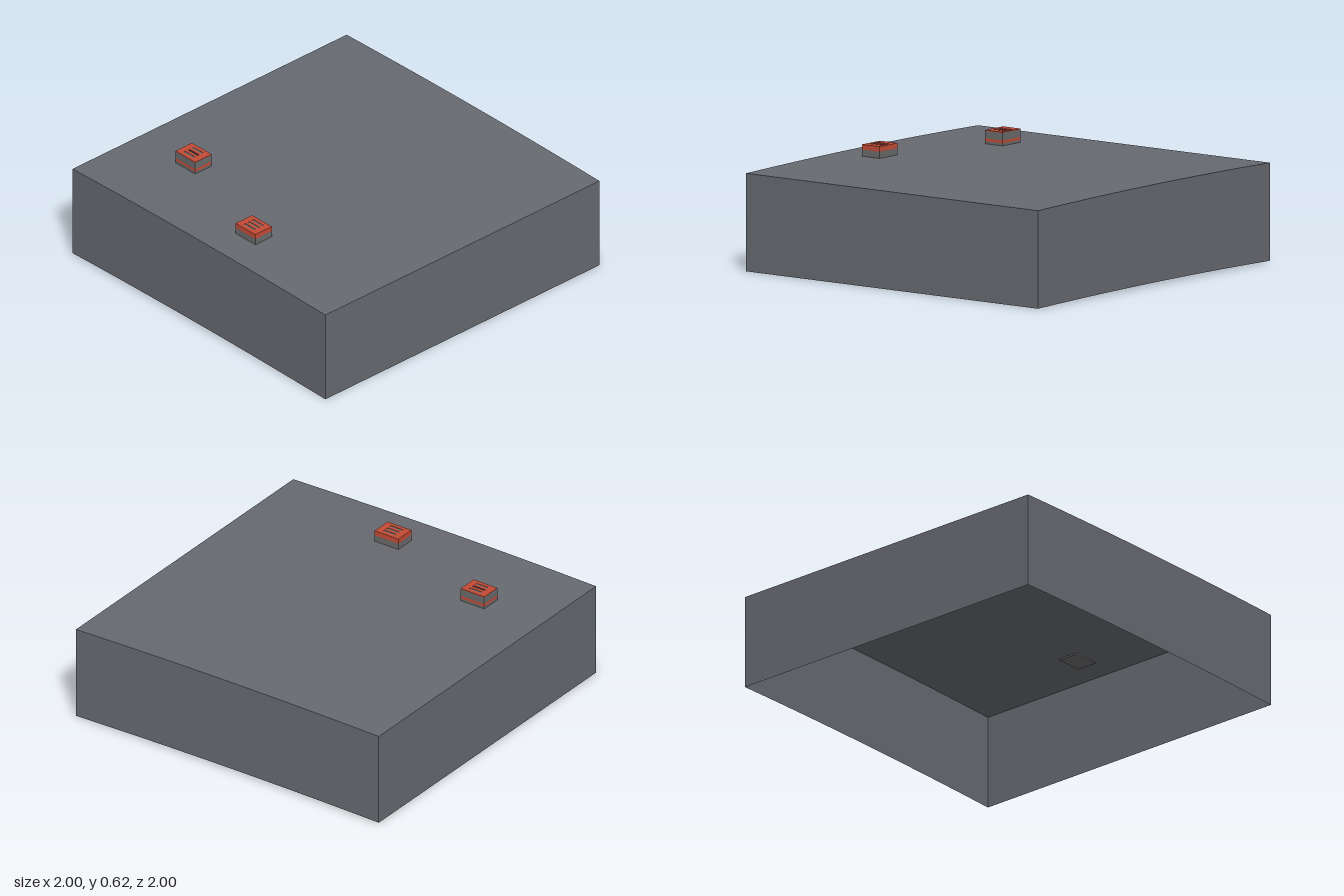
import * as THREE from 'three';

const mat = (name, color, side = THREE.FrontSide) => {
  const m = new THREE.MeshStandardMaterial({ color, side });
  m.name = name;
  return m;
};

export function createModel() {
  const model = new THREE.Group();
  model.name = 'roofBlock';
  const slate = mat('slate grey', 0x66696f, THREE.DoubleSide);
  const steel = mat('steel grey', 0x6a6a6a);
  const red = mat('brick orange', 0xc24a35);
  const dark = mat('dark slot', 0x26282c);

  const add = (parent, name, geometry, material, x = 0, y = 0, z = 0) => {
    const mesh = new THREE.Mesh(geometry, material);
    mesh.name = name;
    mesh.position.set(x, y, z);
    parent.add(mesh);
    return mesh;
  };

  // Open-bottomed block, gently bowed along z
  const height = 0.533;
  const bow = z => 0.012 * (1 - z * z) + 0.0025 * (1 - z);
  const shell = new THREE.BoxGeometry(2, height, 2, 1, 1, 16);
  const floor = shell.groups[3];
  const index = Array.from(shell.index.array);
  index.splice(floor.start, floor.count);
  shell.setIndex(index);
  shell.clearGroups();
  const p = shell.attributes.position;
  for (let i = 0; i < p.count; i++) p.setY(i, p.getY(i) + height / 2 + bow(p.getZ(i)));
  shell.computeVertexNormals();
  add(model, 'block', shell, slate);

  // Roof vent: grey casing, orange band and slotted orange cover
  const W = 0.12, D = 0.156, slotW = 0.013, slotD = 0.08, gap = 0.03, T = 0.004;
  const rect = (path, x, z, w, d) => path
    .moveTo(x - w / 2, z - d / 2).lineTo(x + w / 2, z - d / 2)
    .lineTo(x + w / 2, z + d / 2).lineTo(x - w / 2, z + d / 2).closePath();

  function vent(name, x, z, top, bandLow, bandHigh, middleSlot) {
    const g = new THREE.Group();
    g.name = name;
    g.position.set(x, 0, z);
    const base = height + bow(z) + 0.001;
    const layer = (part, low, high, material) => {
      if (high - low > 0.001) {
        add(g, part, new THREE.BoxGeometry(W, high - low, D), material, 0, (low + high) / 2, 0);
      }
    };
    layer('lowerCasing', base, bandLow, steel);
    layer('band', bandLow, bandHigh, red);
    layer('upperCasing', bandHigh, top - T, steel);

    const shape = new THREE.Shape();
    rect(shape, 0, 0, W, D);
    for (const i of [-1, 0, 1]) {
      const hole = new THREE.Path();
      rect(hole, i * gap, 0, slotW, slotD);
      shape.holes.push(hole);
      add(g, 'slot', new THREE.BoxGeometry(slotW, 0.002, slotD),
        i === 0 ? middleSlot : steel, i * gap, top - T + 0.001, 0);
    }
    const cover = new THREE.ExtrudeGeometry(shape, { depth: T, bevelEnabled: false });
    cover.rotateX(-Math.PI / 2);
    add(g, 'cover', cover, red, 0, top - T, 0);
    model.add(g);
  }
  vent('rearVent', -0.5, -0.585, 0.62, 0.56, 0.575, dark);
  vent('sideVent', -0.75, 0.162, 0.612, 0.584, 0.608, steel);

  // Small plate on the underside of the roof
  add(model, 'undersidePlate', new THREE.BoxGeometry(W, 0.008, D), steel,
    0.17, height + bow(0.77) - 0.006, 0.77);

  return model;
}
